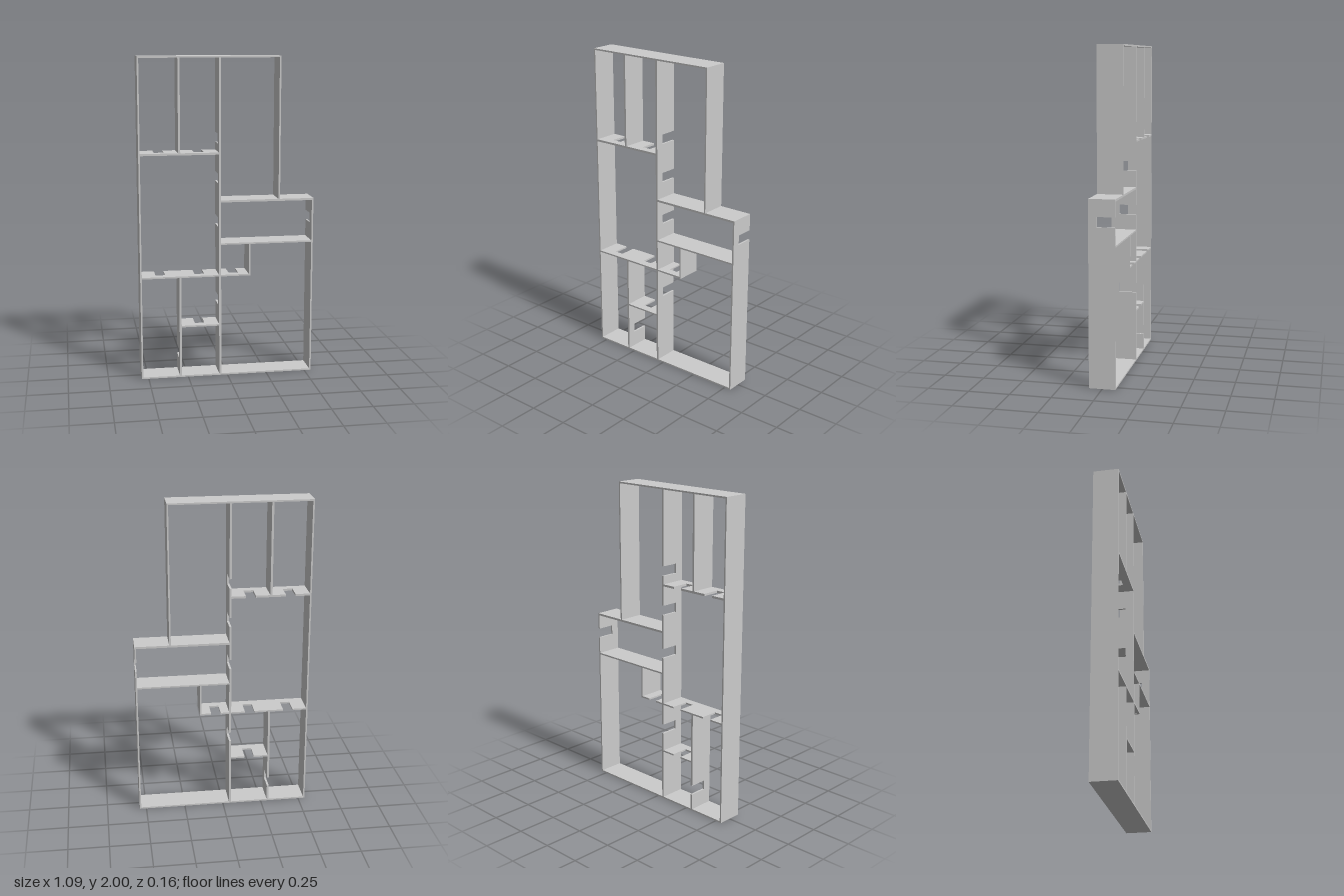
import * as THREE from 'three';

const DEPTH = 0.16, HALF = DEPTH / 2;
const OUTER = 0.01, INNER = 0.013;
const SLOT_WIDTH = 0.06, SLOT_FRONT = 0.03; // slots run from the back edge up to this z

const material = new THREE.MeshStandardMaterial({ color: 0xcccccc, flatShading: true });
const X = new THREE.Vector3(1, 0, 0), Y = new THREE.Vector3(0, 1, 0);
const NX = new THREE.Vector3(-1, 0, 0), NZ = new THREE.Vector3(0, 0, -1);

// Flat board from a to b along its length, with slots cut in from the back edge
function boardGeometry(a, b, thickness, slots) {
  const shape = new THREE.Shape();
  shape.moveTo(a, -HALF);
  shape.lineTo(b, -HALF);
  shape.lineTo(b, HALF);
  for (const c of [...slots].sort((p, q) => q - p)) {
    const l = c - SLOT_WIDTH / 2, r = c + SLOT_WIDTH / 2;
    shape.lineTo(r, HALF);
    shape.lineTo(r, -SLOT_FRONT);
    shape.lineTo(l, -SLOT_FRONT);
    shape.lineTo(l, HALF);
  }
  shape.lineTo(a, HALF);
  shape.closePath();
  const geo = new THREE.ExtrudeGeometry(shape, { depth: thickness, bevelEnabled: false });
  return geo.translate(0, 0, -thickness / 2);
}

export function createModel() {
  const group = new THREE.Group();

  function add(name, geo, basis, x, y) {
    geo.applyMatrix4(new THREE.Matrix4().makeBasis(...basis));
    const mesh = new THREE.Mesh(geo, material);
    mesh.name = name;
    mesh.position.set(x, y, 0);
    group.add(mesh);
  }
  const upright = (name, x, y0, y1, t, slots = []) =>
    add(name, boardGeometry(y0, y1, t, slots), [Y, NZ, NX], x, 0);
  const shelf = (name, y, x0, x1, t, slots = []) =>
    add(name, boardGeometry(x0, x1, t, slots), [X, NZ, Y], 0, y);

  // Outer frame
  upright('rightSide', -0.539, 0, 2, OUTER);
  upright('leftSideLower', 0.538, 0, 1.123, OUTER, [0.99]);
  upright('leftSideUpper', 0.325, 1.117, 2, OUTER);
  shelf('bottomBoard', 0.005, -0.544, 0.543, OUTER);
  shelf('topBoard', 1.995, -0.544, 0.33, OUTER);
  shelf('stepBoard', 1.117, -0.046, 0.543, INNER);

  // Inner uprights
  upright('centreUpright', -0.046, 0, 2, INNER, [0.48, 0.98, 1.255, 1.5]);
  upright('upperDivider', -0.296, 1.413, 2, INNER);
  upright('lowerDivider', -0.296, 0, 0.648, INNER, [0.14]);
  upright('smallDivider', 0.14, 0.642, 0.849, OUTER);

  // Inner shelves
  shelf('upperShelf', 1.413, -0.539, -0.046, INNER, [-0.415, -0.17]);
  shelf('wideShelf', 0.849, -0.046, 0.538, OUTER);
  shelf('middleShelf', 0.648, -0.539, 0.145, OUTER, [-0.415, -0.17, 0.045]);
  shelf('smallShelf', 0.33, -0.296, -0.046, OUTER, [-0.17]);

  return group;
}
